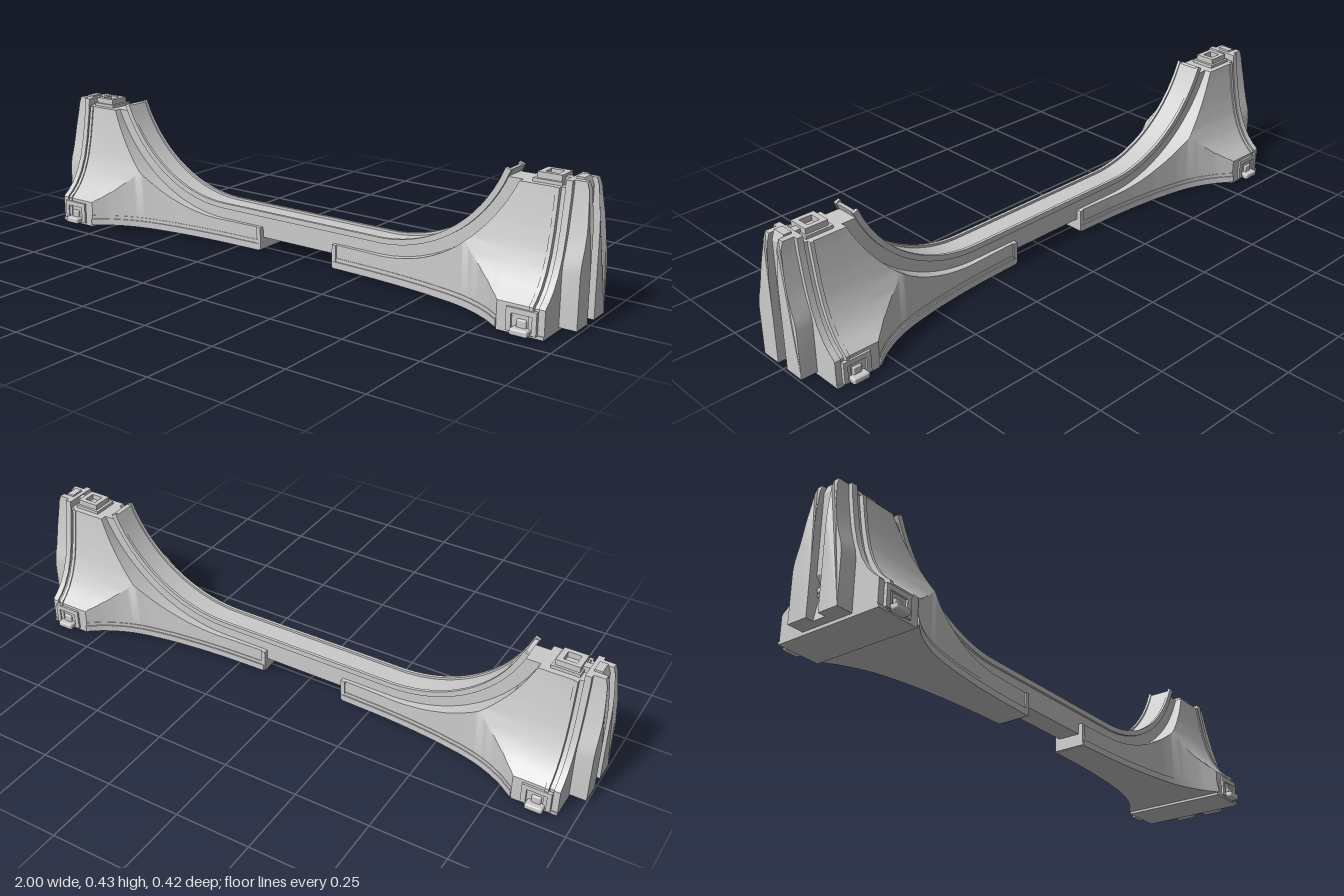
import * as THREE from 'three';
import { toCreasedNormals } from 'three/addons/utils/BufferGeometryUtils.js';
import { RoundedBoxGeometry } from 'three/addons/geometries/RoundedBoxGeometry.js';

const material = new THREE.MeshStandardMaterial({ color: 0xcccccc });

// Flared end profile: [height, half width], and plan curve: [x, half width]
const FLARE = [[0, .183], [.088, .183], [.095, .178], [.105, .164], [.13, .14], [.17, .115],
  [.22, .095], [.28, .08], [.33, .071], [.385, .062], [.43, .058]];
const PLAN = [[.14, .049], [.3, .054], [.4, .061], [.5, .072], [.6, .089], [.65, .102],
  [.7, .121], [.75, .147], [.8, .183], [1, .183]];

function lookup(table, v) {
  let i = 1;
  while (i < table.length - 1 && v > table[i][0]) i++;
  const [a, p] = table[i - 1], [b, q] = table[i];
  return p + (q - p) * THREE.MathUtils.clamp((v - a) / (b - a), 0, 1);
}
const flare = y => lookup(FLARE, y);
const plan = x => lookup(PLAN, x);

// Height at which the flare is as narrow as w
function flareHeight(w) {
  let lo = .088, hi = .43;
  for (let i = 0; i < 30; i++) {
    const mid = (lo + hi) / 2;
    if (flare(mid) > w) lo = mid; else hi = mid;
  }
  return lo;
}

// Saddle curves: flat in the middle, circular towards the ends
const saddle = (x, base, r) => base + r - Math.sqrt(r * r - Math.max(0, Math.abs(x) - .31) ** 2);
const rimY = x => saddle(x, .14, .462);
const webY = x => Math.abs(x) >= .79 ? .4 : Math.min(.4, saddle(x, .085, .523));
const range = (a, b, n) => Array.from({ length: n + 1 }, (_, i) => a + (b - a) * i / n);

function add(group, name, geometry, x = 0, y = 0, z = 0) {
  const mesh = new THREE.Mesh(geometry, material);
  mesh.name = name;
  mesh.position.set(x, y, z);
  group.add(mesh);
  return mesh;
}
const box = (g, name, x0, x1, y0, y1, z0, z1) => add(g, name,
  new THREE.BoxGeometry(x1 - x0, y1 - y0, z1 - z0), (x0 + x1) / 2, (y0 + y1) / 2, (z0 + z1) / 2);

function extrude(points, depth) {
  const shape = new THREE.Shape(points.map(p => new THREE.Vector2(p[0], p[1])));
  return new THREE.ExtrudeGeometry(shape, { depth, bevelEnabled: false });
}
const smooth = g => toCreasedNormals(g, .5);

// Solid flank: vertical plan-curve wall below the crease, flared wall above it
function flankGeometry() {
  const rows = 14, pos = [], index = [];
  const xs = [...range(.15, .79, 48), .8, .905];
  const m = 2 * (rows + 2);
  for (const x of xs) {
    const top = webY(x), w = plan(x), crease = Math.min(top, flareHeight(w));
    const side = [[.008, w]];
    for (const y of range(crease, top, rows)) side.push([y, Math.min(w, flare(y))]);
    side.forEach(([y, z]) => pos.push(x, y, z));
    side.reverse().forEach(([y, z]) => pos.push(x, y, -z));
  }
  for (let i = 0; i < xs.length - 1; i++) for (let j = 0; j < m; j++) {
    const k = (j + 1) % m, a = i * m + j, b = i * m + k, c = a + m, d = b + m;
    index.push(a, c, b, b, c, d);
  }
  const last = (xs.length - 1) * m;
  for (let j = 0; j < m / 2 - 1; j++) {
    const l = j, l2 = j + 1, r = m - 1 - j, r2 = r - 1;
    index.push(l, l2, r, r, l2, r2);
    index.push(last + l, last + r, last + l2, last + r, last + r2, last + l2);
  }
  const g = new THREE.BufferGeometry();
  g.setAttribute('position', new THREE.Float32BufferAttribute(pos, 3));
  g.setIndex(index);
  return smooth(g);
}

// Plate with the flared outline, spanning x0..x1
function flaredPlate(x0, x1, inset, top) {
  const side = [...FLARE.filter(p => p[0] < top - .004), [top, flare(top)]]
    .map(([y, w]) => [w - inset, Math.max(.004, y === top ? y : y - inset * .5)]);
  const points = [...side, ...side.map(([z, y]) => [-z, y]).reverse()];
  return smooth(extrude(points, x1 - x0).rotateY(Math.PI / 2).translate(x0, 0, 0));
}

// Strip following the plan curve, spanning y0..y1
function planStrip(x0, x1, y0, y1, offset) {
  const side = range(x0, x1, 28).map(x => [x, plan(x) + offset]);
  const points = [...side, ...side.map(([x, z]) => [x, -z]).reverse()];
  return smooth(extrude(points, y1 - y0).rotateX(-Math.PI / 2).translate(0, y0, 0));
}

// Upright end fin with a sloping outer face near the top
function finGeometry(sign) {
  const ys = [.01, .17, .2, .24, .28, .32, .34, .37, .4, .423];
  const points = [...ys.map(y => [sign * Math.min(.09, flare(y) - .018), y]),
    ...ys.map(y => [sign * .022, y]).reverse()];
  const g = extrude(points, .06).rotateY(Math.PI / 2).translate(.94, 0, 0);
  const p = g.attributes.position;
  for (let i = 0; i < p.count; i++) {
    if (p.getX(i) > .99) p.setX(i, lookup([[.3, 1], [.4, .99], [.43, .98]], p.getY(i)));
  }
  return smooth(g);
}

function createEnd() {
  const end = new THREE.Group();
  add(end, 'flank', flankGeometry());
  add(end, 'lowerRail', planStrip(.15, .8, .008, .03, .006));
  add(end, 'upperRail', planStrip(.15, .8, .03, .042, .002));
  box(end, 'railStop', .145, .16, .01, .085, -.054, .054);

  // End plates and base
  add(end, 'grooveRib', flaredPlate(.9, .912, -.003, .4));
  add(end, 'recessPlate', flaredPlate(.905, .928, .01, .4));
  add(end, 'endPlate', flaredPlate(.926, .946, .004, .423));
  box(end, 'basePlate', .8, .946, 0, .01, -.183, .183);

  // Latch on top of the end
  box(end, 'latchBase', .82, .91, .395, .41, -.042, .042);
  const ring = new THREE.Shape([[.83, -.034], [.905, -.034], [.905, .034], [.83, .034]]
    .map(p => new THREE.Vector2(...p)));
  ring.holes.push(new THREE.Path([[.847, -.019], [.847, .019], [.888, .019], [.888, -.019]]
    .map(p => new THREE.Vector2(...p))));
  add(end, 'latchFrame', new THREE.ExtrudeGeometry(ring, { depth: .02, bevelEnabled: false })
    .rotateX(-Math.PI / 2), 0, .408, 0);
  box(end, 'latchTongue', .905, .95, .4, .42, -.012, .012);

  // Fins, with a stepped strip and a button in the slot between them
  const strip = [[.94, .01], [.975, .01], [.962, .076], [.955, .078], [.955, .115],
    [.975, .145], [.975, .4], [.965, .429], [.94, .429]];
  add(end, 'slotStrip', extrude(strip, .044), 0, 0, -.022);
  add(end, 'slotButton', new RoundedBoxGeometry(.03, .035, .042, 2, .006), .957, .0965, 0);
  add(end, 'buttonCap', new RoundedBoxGeometry(.01, .017, .03, 2, .004), .973, .0965, 0);

  // Parts repeated on the front and back
  for (const s of [1, -1]) {
    add(end, 'endFin', finGeometry(s));
    const frame = new THREE.Shape([[.832, .008], [.926, .008], [.926, .078], [.832, .078]]
      .map(p => new THREE.Vector2(...p)));
    frame.holes.push(new THREE.Path([[.848, .014], [.848, .062], [.912, .062], [.912, .014]]
      .map(p => new THREE.Vector2(...p))));
    add(end, 'clipFrame', new THREE.ExtrudeGeometry(frame, { depth: .012, bevelEnabled: false }),
      0, 0, s > 0 ? .178 : -.19);
    add(end, 'clip', new RoundedBoxGeometry(.056, .02, .05, 2, .006), .88, .015, s * .185);
    add(end, 'clipNeck', new RoundedBoxGeometry(.03, .03, .014, 2, .004), .88, .033, s * .184);
  }
  return end;
}

export function createModel() {
  const model = new THREE.Group();
  model.name = 'saddleBridge';

  // Central web under the saddle
  const top = range(-.735, .735, 80).map(x => [x, Math.min(.4, rimY(x) - .012)]);
  const bottom = range(.79, -.79, 80).map(x => [x, Math.min(.38, webY(x) - .035)]);
  add(model, 'web', smooth(extrude([[-.79, .4], ...top, [.79, .4], ...bottom], .076)), 0, 0, -.038);

  // Thin curved floor and raised lips of the saddle channel
  const xs = range(-.738, .738, 80);
  const band = (up, down) => {
    const outer = xs.map(x => [x, rimY(x) + up]);
    const inner = xs.map(x => {
      const a = Math.asin(Math.max(0, Math.abs(x) - .31) / .462) * Math.sign(x);
      return [x + Math.sin(a) * down, rimY(x) - Math.cos(a) * down];
    }).reverse();
    return [...outer, ...inner];
  };
  add(model, 'channelFloor', smooth(extrude(band(-.008, .016), .08)), 0, 0, -.04);
  for (const z of [-.046, .036]) {
    add(model, 'channelLip', smooth(extrude(band(0, .018), .01)), 0, 0, z);
  }

  // Two identical ends, turned to face outwards
  for (const [name, turn] of [['leftEnd', 0], ['rightEnd', Math.PI]]) {
    const end = createEnd();
    end.name = name;
    end.rotation.y = turn;
    model.add(end);
  }
  return model;
}
